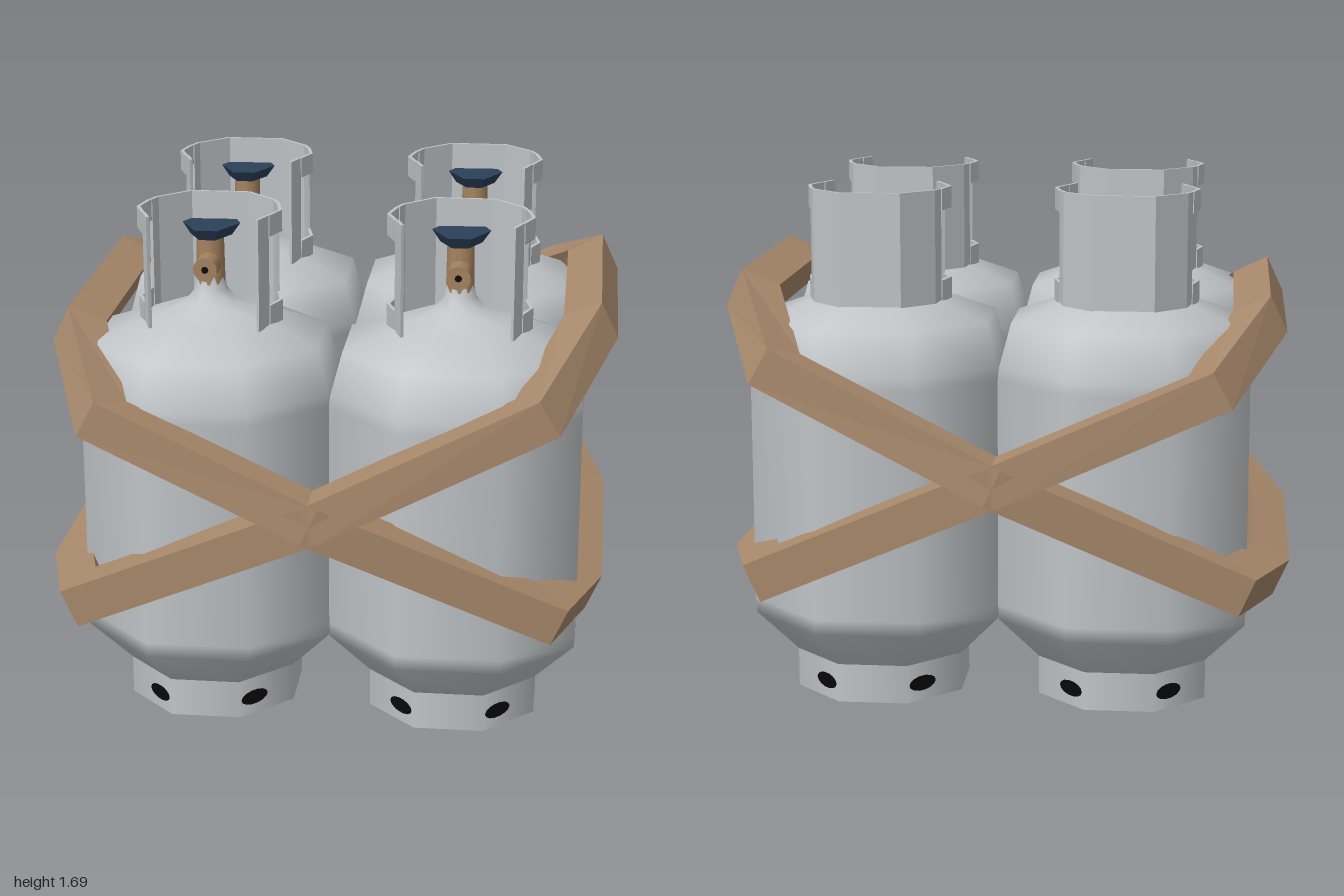
import * as THREE from 'three';

const mat = (name, color) => Object.assign(new THREE.MeshStandardMaterial({ color }), { name });

export function createModel() {
  const steel = mat('painted steel', 0xc0c4c7);
  const wood = mat('tan strap', 0xa98a6c);
  const brass = mat('brass valve', 0xa5835f);
  const blue = mat('navy handle', 0x2b4059);
  const black = mat('black hole', 0x080808);

  const model = new THREE.Group();
  model.name = 'strappedGasCylinders';
  const add = (parent, name, geo, material) => {
    const m = new THREE.Mesh(geo, material);
    m.name = name;
    parent.add(m);
    return m;
  };

  // Upright prism from a plan outline of [x, z] points
  const prism = (pts, y0, y1) => {
    const shape = new THREE.Shape(pts.map(([x, z]) => new THREE.Vector2(x, -z)));
    const g = new THREE.ExtrudeGeometry(shape, { depth: y1 - y0, bevelEnabled: false });
    return g.rotateX(-Math.PI / 2).translate(0, y0, 0);
  };
  // Thin sheet wall following a plan line
  const wall = (line, y0, y1) =>
    prism([...line, ...line.map(([x, z]) => [x * 0.95, z * 0.95]).reverse()], y0, y1);

  // Octagonal body with shoulder and neck: [flat-to-centre distance, height]
  const K = 1 / Math.cos(Math.PI / 8);
  const profile = [[0.277, 0.13], [0.406, 0.27], [0.409, 0.32], [0.409, 1.08], [0.405, 1.12],
    [0.367, 1.265], [0.19, 1.335], [0.08, 1.38], [0.05, 1.42], [0.042, 1.47]]
    .map(([r, y]) => new THREE.Vector2(r * K, y));
  const bodyGeo = new THREE.LatheGeometry(profile, 8, Math.PI / 8);
  const footGeo = new THREE.CylinderGeometry(0.277 * K, 0.277 * K, 0.132, 8, 1, false, Math.PI / 8)
    .translate(0, 0.066, 0);

  // Guard collar: solid back, framed window on each side, open front
  const backGeo = wall([[-0.215, -0.085], [-0.2, -0.125], [-0.1, -0.225], [0.1, -0.225],
    [0.2, -0.125], [0.215, -0.085]], 1.27, 1.69);
  const sideGeos = [1, -1].map((s) => {
    const post = [[0.205 * s, 0.09], [0.18 * s, 0.155]];
    const rail = [[0.218 * s, -0.085], [0.238 * s, 0.01], [0.208 * s, 0.09]];
    return [wall(post, 1.32, 1.69), wall(rail, 1.62, 1.69), wall(rail, 1.32, 1.39)];
  });

  // Hand wheel, narrower underneath
  const handleGeo = prism([[-0.075, -0.075], [0.075, -0.08], [0.095, -0.03], [0.037, 0.085],
    [-0.037, 0.085], [-0.095, -0.03]], 1.595, 1.632);
  const hp = handleGeo.attributes.position;
  for (let i = 0; i < hp.count; i++)
    if (hp.getY(i) < 1.61) hp.setXYZ(i, hp.getX(i) * 0.72, hp.getY(i), hp.getZ(i) * 0.72);
  handleGeo.computeVertexNormals();

  const stemGeo = new THREE.CylinderGeometry(0.045, 0.048, 0.17, 10).translate(0, 1.525, 0);
  const outletGeo = new THREE.CylinderGeometry(0.04, 0.04, 0.1, 10)
    .rotateX(Math.PI / 2).translate(0, 1.51, 0.065);
  const boreGeo = new THREE.CircleGeometry(0.012, 8).translate(0, 1.51, 0.117);
  const holeGeo = new THREE.CircleGeometry(1, 14).scale(0.055, 0.026, 1);

  function makeTank(x, z) {
    const tank = new THREE.Group();
    tank.name = 'gasCylinder';
    tank.position.set(x, 0, z);
    add(tank, 'body', bodyGeo, steel);
    add(tank, 'footRing', footGeo, steel);
    add(tank, 'collarBack', backGeo, steel);
    for (const [post, top, bottom] of sideGeos) {
      add(tank, 'collarPost', post, steel);
      add(tank, 'collarTopRail', top, steel);
      add(tank, 'collarBottomRail', bottom, steel);
    }
    add(tank, 'valveStem', stemGeo, brass);
    add(tank, 'valveOutlet', outletGeo, brass);
    add(tank, 'outletBore', boreGeo, black);
    add(tank, 'valveHandle', handleGeo, blue);
    for (const sx of [1, -1]) for (const sz of [1, -1]) {
      const hole = add(tank, 'footHole', holeGeo, black);
      hole.position.set(sx * 0.161, 0.06, sz * 0.236);
      hole.rotation.y = Math.atan2(sx, sz);
    }
    model.add(tank);
  }
  for (const [x, z] of [[-0.387, -0.4], [0.43, -0.39], [-0.387, 0.418], [0.43, 0.43]]) makeTank(x, z);

  // Square-section closed band, mitred at every corner; s is the side of its high end
  function bandGeometry(s, hiCorner, hiSide, loSide, loCorner) {
    const h = 0.066;
    const V = (x, y, z) => new THREE.Vector3(x * s, y, z);
    const at = ([x, y, z], f) => V(x, y, z * f);
    const path = [V(0, 0.82, 0.93), at(hiCorner, 1), at(hiSide, 1), at(hiSide, -1), at(hiCorner, -1),
      V(0, 0.82, -0.93), at(loCorner, -1), at(loSide, -1), at(loSide, 1), at(loCorner, 1)];
    if (s < 0) path.reverse();
    const n = path.length;
    const normal = new THREE.Vector3(-0.45 * s, 1, 0).normalize();
    const rings = path.map((p, i) => {
      const a = p.clone().sub(path[(i + n - 1) % n]).normalize();
      const b = path[(i + 1) % n].clone().sub(p).normalize();
      const t = a.clone().add(b).normalize();
      const up = normal.clone().addScaledVector(t, -normal.dot(t)).normalize();
      const r = t.clone().cross(up).multiplyScalar(1 / a.dot(t));
      return [[1, 1], [1, -1], [-1, -1], [-1, 1]].map(([u, v]) =>
        p.clone().addScaledVector(r, u * h).addScaledVector(up, v * h));
    });
    const out = [];
    for (let i = 0; i < n; i++) for (let k = 0; k < 4; k++) {
      const A = rings[i], B = rings[(i + 1) % n], k1 = (k + 1) % 4;
      for (const q of [A[k1], B[k1], B[k], A[k1], B[k], A[k]]) out.push(q.x, q.y, q.z);
    }
    const g = new THREE.BufferGeometry();
    g.setAttribute('position', new THREE.Float32BufferAttribute(out, 3));
    g.computeVertexNormals();
    return g;
  }
  add(model, 'bandHighLeft', bandGeometry(1, [0.7, 1.16, 0.86], [0.855, 1.325, 0.41],
    [-0.85, 0.435, 0.45], [-0.75, 0.475, 0.82]), wood);
  add(model, 'bandHighRight', bandGeometry(-1, [0.67, 1.11, 0.87], [0.825, 1.265, 0.44],
    [-0.835, 0.44, 0.45], [-0.74, 0.48, 0.81]), wood);

  return model;
}
